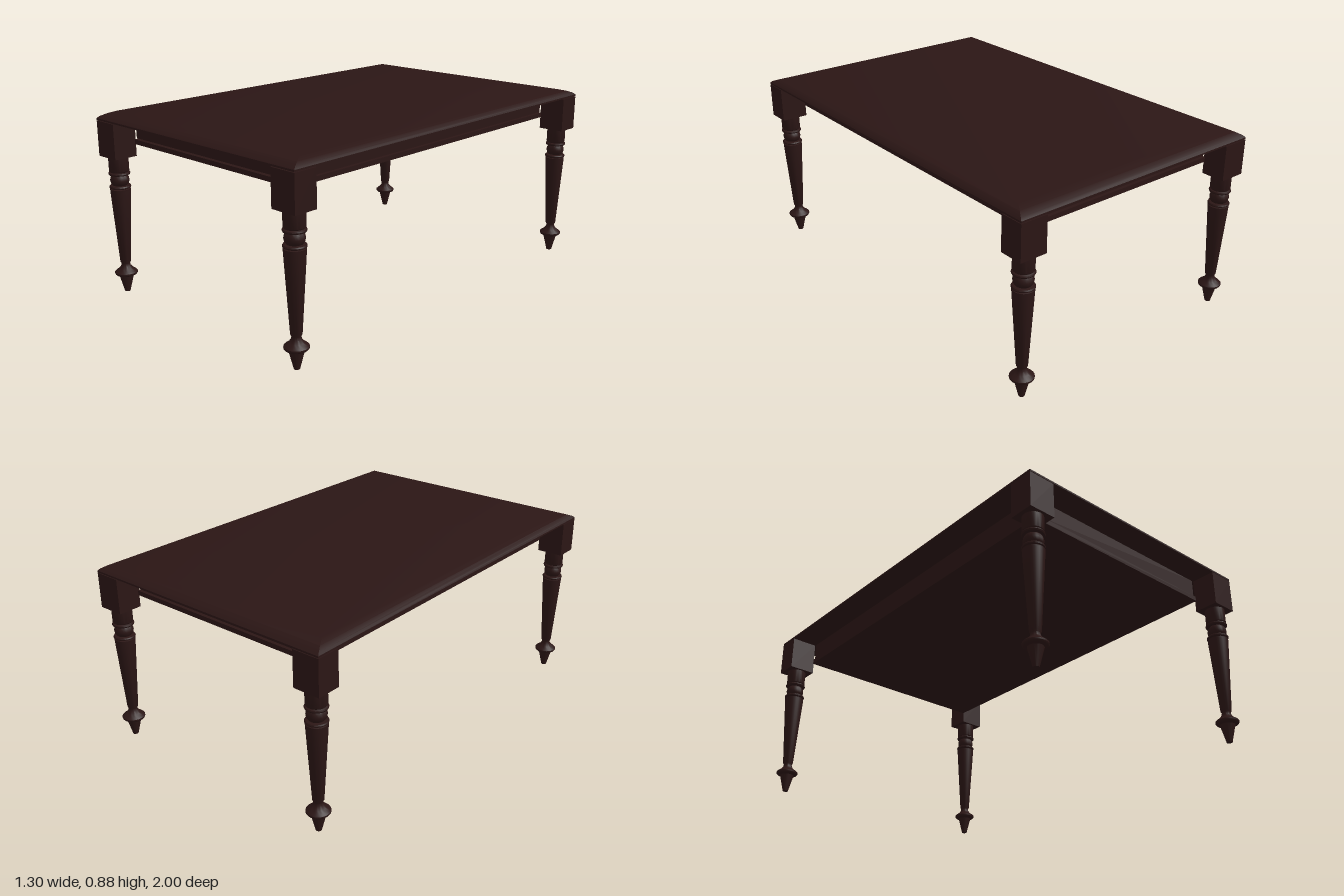
import * as THREE from 'three';
import { toCreasedNormals } from 'three/addons/utils/BufferGeometryUtils.js';

const wood = new THREE.MeshStandardMaterial({ color: 0x2b1615 });

function addMesh(parent, name, geometry, x = 0, y = 0, z = 0) {
  const mesh = new THREE.Mesh(geometry, wood);
  mesh.name = name;
  mesh.position.set(x, y, z);
  parent.add(mesh);
  return mesh;
}

// Slab whose rows shrink towards the top to form a rounded edge.
function tableTopGeometry() {
  const rows = [[0, 0.838], [0, 0.846], [0.15, 0.855], [0.5, 0.866], [1, 0.876]]; // inset, height
  const geometry = new THREE.BoxGeometry(2, 4, 2, 1, 4, 1);
  const pos = geometry.attributes.position;
  for (let i = 0; i < pos.count; i++) {
    const [inset, y] = rows[Math.round(pos.getY(i) + 2)];
    pos.setXYZ(i, pos.getX(i) * (0.652 - 0.052 * inset), y, pos.getZ(i) * (1 - 0.08 * inset));
  }
  return toCreasedNormals(geometry, 0.5);
}

// Turned leg from the pointed foot up to the corner block.
function turnedLegGeometry() {
  const points = [
    [0, 0], [0.013, 0], [0.034, 0.083], [0.048, 0.087], [0.053, 0.093], [0.053, 0.1],
    [0.047, 0.106], [0.033, 0.116], [0.022, 0.13], [0.02, 0.142], [0.025, 0.152],
    [0.047, 0.505], [0.047, 0.513], [0.041, 0.515], [0.049, 0.519], [0.05, 0.524], [0.047, 0.529],
    [0.034, 0.531], [0.041, 0.541], [0.044, 0.555], [0.041, 0.569], [0.034, 0.579],
    [0.047, 0.581], [0.05, 0.587], [0.048, 0.592], [0.042, 0.595], [0.046, 0.6], [0.046, 0.672],
  ].map(([r, y]) => new THREE.Vector2(r, y));
  return toCreasedNormals(new THREE.LatheGeometry(points, 28), 0.7);
}

export function createModel() {
  const table = new THREE.Group();
  table.name = 'table';

  addMesh(table, 'tableTop', tableTopGeometry());

  // Frame under the top, with a groove above its lower moulding
  addMesh(table, 'apron', new THREE.BoxGeometry(1.036, 0.086, 1.762), 0, 0.796);
  addMesh(table, 'apronGroove', new THREE.BoxGeometry(1.016, 0.01, 1.73), 0, 0.75);
  addMesh(table, 'apronMoulding', new THREE.BoxGeometry(1.05, 0.022, 1.78), 0, 0.737);

  // Four legs with square corner blocks
  const legGeometry = turnedLegGeometry();
  const blockGeometry = new THREE.BoxGeometry(0.13, 0.166, 0.115);
  for (const sx of [-1, 1]) {
    for (const sz of [-1, 1]) {
      const leg = new THREE.Group();
      leg.name = (sz > 0 ? 'front' : 'back') + (sx > 0 ? 'Left' : 'Right') + 'Leg';
      leg.position.set(sx * 0.587, 0, sz * 0.9425);
      addMesh(leg, 'turnedLeg', legGeometry);
      addMesh(leg, 'cornerBlock', blockGeometry, 0, 0.752, 0);
      table.add(leg);
    }
  }
  return table;
}
